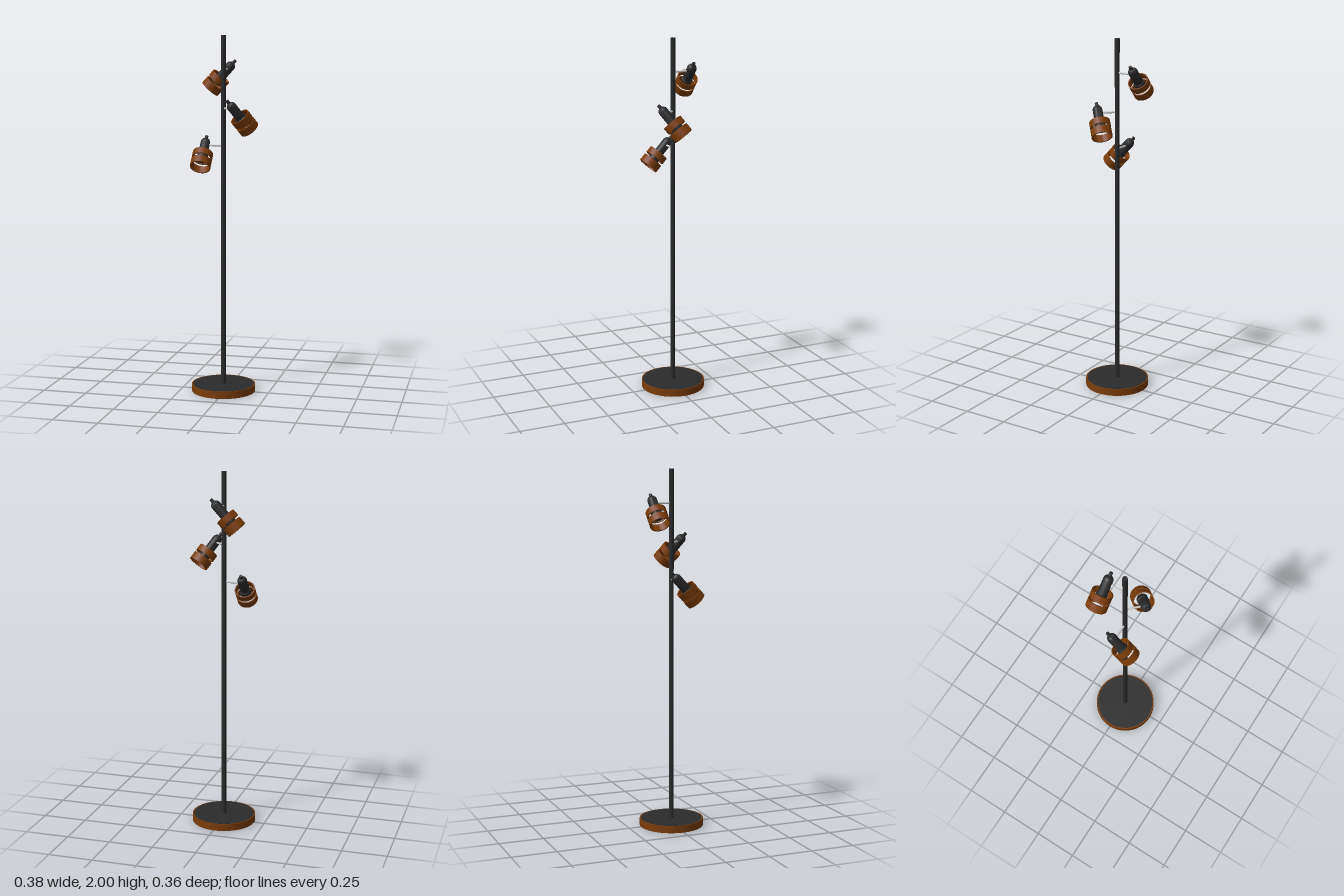
import * as THREE from 'three';
import { toCreasedNormals } from 'three/addons/utils/BufferGeometryUtils.js';

const wood = new THREE.MeshStandardMaterial({ color: 0x7a3c0a });
const black = new THREE.MeshStandardMaterial({ color: 0x2b2b2b });
const metal = new THREE.MeshStandardMaterial({ color: 0xcccccc });

const POLE_X = -0.011;
const ARM_LENGTH = 0.107;

function add(parent, name, geometry, material, x = 0, y = 0, z = 0) {
  const mesh = new THREE.Mesh(geometry, material);
  mesh.name = name;
  mesh.position.set(x, y, z);
  parent.add(mesh);
  return mesh;
}

function lathe(points, segments) {
  const profile = points.map(([r, y]) => new THREE.Vector2(r, y));
  return toCreasedNormals(new THREE.LatheGeometry(profile, segments), 0.6);
}

// Hollow band of the shade, closed on all four sides
function band(bottom, top, outer = 0.057, inner = 0.051) {
  return lathe([[inner, bottom], [outer, bottom], [outer, top], [inner, top], [inner, bottom]], 32);
}

// Lamp head hanging along -y from its pivot at the origin
function makeHead() {
  const head = new THREE.Group();
  head.name = 'lampHead';

  // Socket: straight body with a domed end
  const body = [[0, -0.105], [0.03, -0.105], [0.03, -0.066], [0.0265, -0.064]];
  for (let i = 0; i <= 8; i++) {
    const a = (i / 8) * Math.PI / 2;
    body.push([0.0265 * Math.cos(a), 0.019 + 0.0265 * Math.sin(a)]);
  }
  add(head, 'socket', lathe(body, 24), black);
  add(head, 'cableGrip', new THREE.CylinderGeometry(0.009, 0.01, 0.03, 16), black, 0, 0.048, 0);

  // Two bands with an open slot between them
  add(head, 'upperShadeBand', band(-0.095, -0.057), wood);
  add(head, 'lowerShadeBand', band(-0.153, -0.109), wood);
  return head;
}

// Arm along -x with a head tilted towards +z, turned about the pole
function makeSpot(y, turn) {
  const spot = new THREE.Group();
  spot.name = 'spotlight';
  spot.position.set(POLE_X, y, 0);
  spot.rotation.y = turn;

  const arm = add(spot, 'arm', new THREE.CylinderGeometry(0.0055, 0.0055, ARM_LENGTH, 12), metal, -ARM_LENGTH / 2);
  arm.rotation.z = Math.PI / 2;

  const head = makeHead();
  head.position.x = -ARM_LENGTH;
  head.rotation.x = THREE.MathUtils.degToRad(-42.5);
  spot.add(head);
  return spot;
}

export function createModel() {
  const model = new THREE.Group();
  model.name = 'floorLamp';

  // Base with a dark inlay on top
  add(model, 'base', new THREE.CylinderGeometry(0.18, 0.18, 0.04, 40), wood, POLE_X, 0.02, 0);
  add(model, 'baseInlay', new THREE.CylinderGeometry(0.173, 0.173, 0.004, 40), black, POLE_X, 0.039, 0);

  // Pole
  add(model, 'pole', new THREE.CylinderGeometry(0.0135, 0.0135, 1.96, 20), black, POLE_X, 1.02, 0);

  // Three heads at different heights and turns
  const spots = [[1.815, -Math.PI / 2], [1.6, Math.PI * 0.75], [1.395, 0]];
  for (const [y, turn] of spots) model.add(makeSpot(y, turn));

  return model;
}
